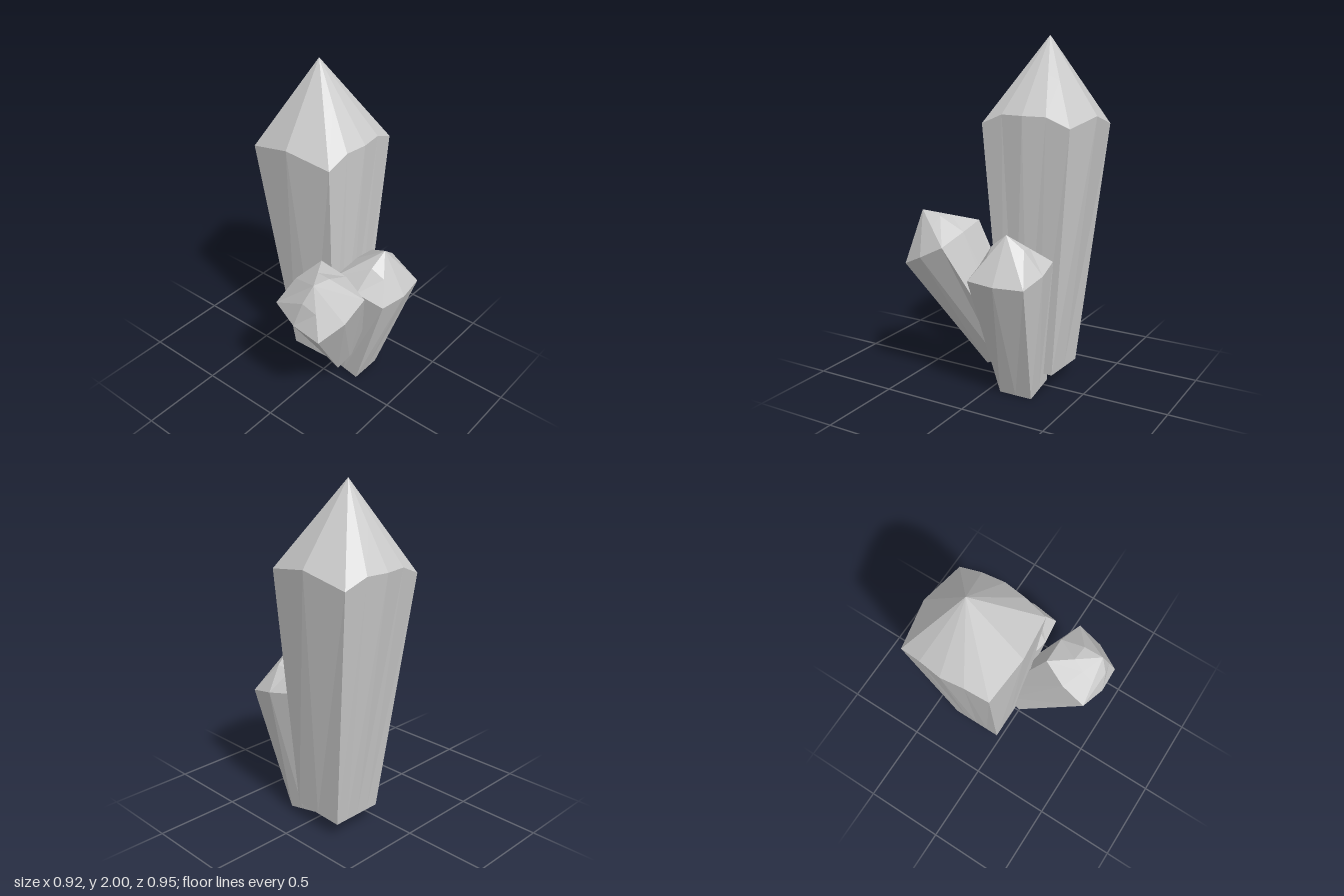
import * as THREE from 'three';

const material = new THREE.MeshStandardMaterial({ color: 0xcccccc, flatShading: true, side: THREE.DoubleSide });

// Closed loop of square corners and bulging side middles, starting at the front middle and turning towards +x.
// Each entry is [x, z, height]; extra points lie halfway along the x sides when quarter is true.
function makeLoop({ half, mid, cornerY, midY, quarter }) {
  const right = [[half, half, cornerY], [mid, 0, midY], [half, -half, cornerY]];
  if (quarter) {
    const q = (half + mid) / 2;
    right.splice(1, 0, [q, half / 2, midY]);
    right.splice(3, 0, [q, -half / 2, midY]);
  }
  const left = right.map(([x, z, y]) => [-x, z, y]).reverse();
  return [[0, mid, midY], ...right, [0, -mid, midY], ...left];
}

// Tapered open shaft with a faceted point, base centre at the origin
function crystalGeometry({ base, height, bulge, ...shoulder }) {
  const top = makeLoop(shoulder).map(([x, z, y]) => [x, y, z]);
  const k = base / shoulder.half;
  const bottom = top.map(([x, , z]) => [
    THREE.MathUtils.clamp(x * k, -base, base), 0, THREE.MathUtils.clamp(z * k, -base, base)]);
  // Halfway ring of the point, slightly raised along the front and back ridges
  const waist = top.map(([x, y, z]) => [x / 2, (y + height) / 2 + (x === 0 ? bulge : 0), z / 2]);
  const rings = [bottom, top, waist];
  const n = top.length;
  const apex = [0, height, 0];
  const positions = [];
  for (let i = 0; i < n; i++) {
    const j = (i + 1) % n;
    for (let r = 0; r < 2; r++) {
      const lo = rings[r], hi = rings[r + 1];
      positions.push(...lo[i], ...lo[j], ...hi[j], ...lo[i], ...hi[j], ...hi[i]);
    }
    positions.push(...waist[i], ...waist[j], ...apex);
  }
  const geometry = new THREE.BufferGeometry();
  geometry.setAttribute('position', new THREE.Float32BufferAttribute(positions, 3));
  geometry.computeVertexNormals();
  return geometry;
}

// Stand a crystal on its base centre and aim its point at the tip
function addCrystal(group, name, shape, foot, tip, side) {
  const start = new THREE.Vector3(...foot);
  const up = new THREE.Vector3(...tip).sub(start);
  const height = up.length();
  up.normalize();
  const z = new THREE.Vector3(...side).cross(up).normalize();
  const x = up.clone().cross(z);
  const mesh = new THREE.Mesh(crystalGeometry({ ...shape, height }), material);
  mesh.name = name;
  mesh.quaternion.setFromRotationMatrix(new THREE.Matrix4().makeBasis(x, up, z));
  mesh.position.copy(start);
  group.add(mesh);
}

export function createModel() {
  const group = new THREE.Group();
  group.name = 'crystalCluster';

  const large = { base: 0.158, half: 0.268, mid: 0.302, cornerY: 1.416, midY: 1.472, quarter: true, bulge: 0 };
  const small = { base: 0.1, half: 0.172, mid: 0.198, cornerY: 0.747, midY: 0.75, quarter: false, bulge: 0.03 };

  addCrystal(group, 'largeCrystal', large, [-0.088, 0.1, -0.173], [-0.175, 2, -0.173], [1, 0, 0]);
  addCrystal(group, 'sideCrystal', small, [0.108, 0.025, -0.172], [0.31, 0.97, -0.172], [1, 0, 0]);
  addCrystal(group, 'frontCrystal', small, [0.078, 0.207, -0.052], [0.265, 1.035, 0.4], [0.959, -0.265, 0.1]);

  return group;
}
